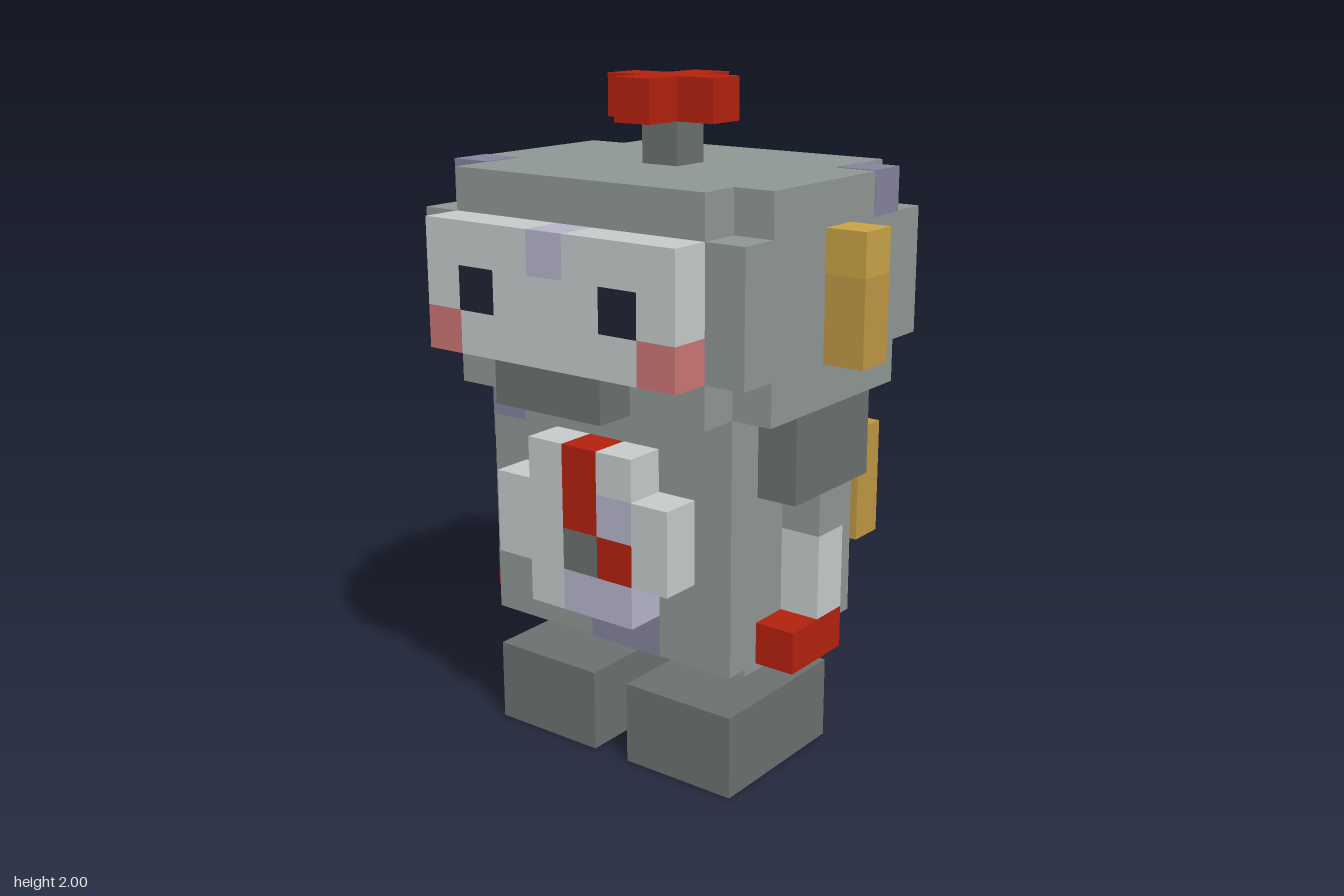
import * as THREE from 'three';

const U = 0.125; // one block

const colours = {
  grey: 0x8e9693, darkGrey: 0x6a706f, lightGrey: 0xc5c9c9, lavender: 0xb5b3c9, dullPurple: 0x83829a,
  pink: 0xcc7575, navy: 0x202235, gold: 0xc8a244, darkGold: 0xbd9643, red: 0xb3210f,
};

export function createModel() {
  const model = new THREE.Group();
  model.name = 'toyRobot';
  const mats = {};
  for (const [name, color] of Object.entries(colours)) {
    mats[name] = new THREE.MeshStandardMaterial({ color });
    mats[name].name = name;
  }

  const part = (name) => {
    const g = new THREE.Group();
    g.name = name;
    model.add(g);
    return g;
  };
  // Box between block coordinates; grow lifts a painted patch off its surface
  const box = (group, name, mat, [x0, x1], [y0, y1], [z0, z1], grow = 0) => {
    const geo = new THREE.BoxGeometry((x1 - x0) * U + grow, (y1 - y0) * U + grow, (z1 - z0) * U + grow);
    const mesh = new THREE.Mesh(geo, mats[mat]);
    mesh.position.set((x0 + x1) / 2 * U, (y0 + y1) / 2 * U, (z0 + z1) / 2 * U);
    mesh.name = name;
    group.add(mesh);
  };
  const patch = (group, x, y, z) =>
    box(group, 'wornPatch', 'dullPurple', [x - 0.5, x + 0.5], [y, y + 1], [z, z + 1], 0.004);
  // x range mirrored for the side s
  const side = (s, a, b) => (s > 0 ? [a, b] : [-b, -a]);

  // Head with its eight corners notched
  const head = part('head');
  box(head, 'headMiddle', 'grey', [-4.5, 4.5], [10, 13], [-3, 4]);
  for (const y of [9, 13]) {
    box(head, 'headLayer', 'grey', [-3.5, 3.5], [y, y + 1], [-3, 4]);
    for (const s of [-1, 1]) box(head, 'headEdge', 'grey', side(s, 3.5, 4.5), [y, y + 1], [-2, 3]);
  }
  patch(head, -4, 13, 2);
  patch(head, 4, 13, -2);

  // Face plate made of neighbouring blocks
  const face = part('face');
  const fz = [4, 5];
  box(face, 'jaw', 'darkGrey', [-1.5, 1.5], [9, 10], fz);
  box(face, 'lowerFace', 'lightGrey', [-2.5, 2.5], [10, 11], fz);
  box(face, 'noseBridge', 'lightGrey', [-1.5, 1.5], [11, 12], fz);
  box(face, 'foreheadMark', 'lavender', [-0.5, 0.5], [12, 13], fz);
  for (const s of [-1, 1]) {
    box(face, 'cheek', 'pink', side(s, 2.5, 3.5), [10, 11], fz);
    box(face, 'temple', 'lightGrey', side(s, 2.5, 3.5), [11, 12], fz);
    box(face, 'eyeSocket', 'lightGrey', side(s, 1.5, 2.5), [11, 12], fz);
    box(face, 'brow', 'lightGrey', side(s, 0.5, 3.5), [12, 13], fz);
    box(face, 'eye', 'navy', side(s, 1.5, 2.5), [11, 12], [4.98, 5.02]);
  }

  // Ears
  const ears = part('ears');
  box(ears, 'rightEar', 'darkGold', [-5.5, -4.5], [10, 13], [0, 1]);
  box(ears, 'leftEarTop', 'gold', [4.5, 5.5], [12, 13], [0, 1]);
  box(ears, 'leftEar', 'darkGold', [4.5, 5.5], [10, 12], [0, 1]);

  // Antenna with a cross-shaped top
  const antenna = part('antenna');
  box(antenna, 'stem', 'darkGrey', [-0.5, 0.5], [14, 15], [0, 1]);
  box(antenna, 'crossBar', 'red', [-1.5, 1.5], [15, 16], [0, 1]);
  box(antenna, 'crossFront', 'red', [-0.5, 0.5], [15, 16], [1, 2]);
  box(antenna, 'crossBack', 'red', [-0.5, 0.5], [15, 16], [-1, 0]);

  // Body
  const body = part('body');
  box(body, 'torso', 'grey', [-3.5, 3.5], [3, 9], [-2, 3]);
  patch(body, -3, 8, 2);
  patch(body, 3, 8, -2);
  patch(body, 0, 3, 2);
  patch(body, 1, 3, 2);
  patch(body, -1, 3, -2);
  patch(body, -3, 3, -1);

  // Chest dial
  const dial = part('chestDial');
  const dz = [3, 4];
  box(dial, 'dialRight', 'lightGrey', [-1.5, -0.5], [4, 8], dz);
  box(dial, 'dialTop', 'lightGrey', [0.5, 1.5], [7, 8], dz);
  for (const s of [-1, 1]) box(dial, 'dialRim', 'lightGrey', side(s, 1.5, 2.5), [5, 7], dz);
  box(dial, 'dialShade', 'lavender', [0.5, 1.5], [6, 7], dz);
  box(dial, 'dialBase', 'lavender', [-0.5, 1.5], [4, 5], dz);
  box(dial, 'longHand', 'red', [-0.5, 0.5], [6, 8], dz);
  box(dial, 'shortHand', 'red', [0.5, 1.5], [5, 6], dz);
  box(dial, 'pivot', 'darkGrey', [-0.5, 0.5], [5, 6], dz);

  // Arms and legs, mirrored
  for (const s of [-1, 1]) {
    const arm = part(s > 0 ? 'leftArm' : 'rightArm');
    const ax = side(s, 3.5, 4.5);
    box(arm, 'shoulder', 'darkGrey', ax, [7, 9], [-1, 2]);
    box(arm, 'upperArm', 'grey', ax, [6, 7], [0, 1]);
    box(arm, 'forearm', s > 0 ? 'lightGrey' : 'lavender', ax, [4, 6], [0, 1]);
    box(arm, 'hand', 'red', ax, [3, 4], [0, 2]);

    const leg = part(s > 0 ? 'leftLeg' : 'rightLeg');
    box(leg, 'shin', s > 0 ? 'grey' : 'lightGrey', side(s, 1.5, 2.5), [2, 3], [0, 1]);
    box(leg, 'foot', 'darkGrey', side(s, 0.5, 3.5), [0, 2], [-1, 3]);
  }

  // Wind-up key on the back
  const key = part('windUpKey');
  box(key, 'keyShaft', 'darkGold', [-0.5, 0.5], [5, 6], [-4, -2]);
  box(key, 'rightKeyWing', 'gold', [-2.5, -0.5], [4, 7], [-5, -4]);
  box(key, 'leftKeyWing', 'darkGold', [0.5, 2.5], [4, 7], [-5, -4]);

  return model;
}
